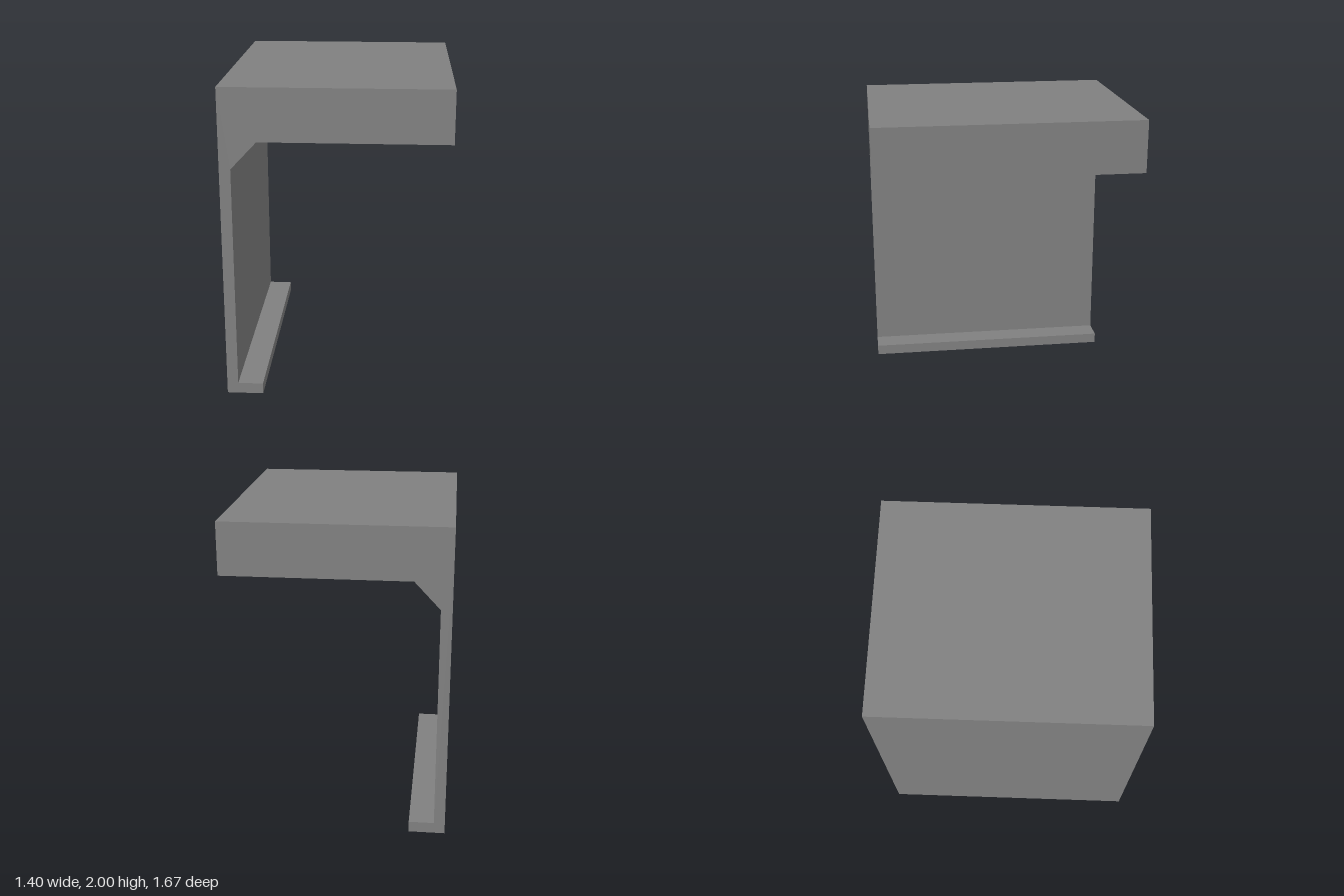
import * as THREE from 'three';

const HALF_DEPTH = 0.835;

const bodyGrey = new THREE.MeshStandardMaterial({ color: 0x808080, side: THREE.DoubleSide });
bodyGrey.name = 'body grey';
const lampTan = new THREE.MeshStandardMaterial({ color: 0xb3996a });
lampTan.name = 'lamp tan';

// Flat strip that sweeps an open outline from front to back
function sweep(outline) {
  const positions = [];
  for (let i = 0; i < outline.length - 1; i++) {
    const [ax, ay] = outline[i];
    const [bx, by] = outline[i + 1];
    const h = HALF_DEPTH;
    positions.push(ax, ay, h, ax, ay, -h, bx, by, -h);
    positions.push(ax, ay, h, bx, by, -h, bx, by, h);
  }
  const geometry = new THREE.BufferGeometry();
  geometry.setAttribute('position', new THREE.Float32BufferAttribute(positions, 3));
  geometry.computeVertexNormals();
  return geometry;
}

function add(parent, name, geometry, material) {
  const mesh = new THREE.Mesh(geometry, material);
  mesh.name = name;
  parent.add(mesh);
  return mesh;
}

export function createModel() {
  const model = new THREE.Group();
  model.name = 'overhangingShelter';

  // Outline of foot, wall, sloped corner and thick roof; open underneath
  const outline = [
    [-0.47, 0], [-0.47, 0.07], [-0.63, 0.07], [-0.63, 1.5], [-0.47, 1.67],
    [0.7, 1.67], [0.7, 2], [-0.7, 2], [-0.7, 0],
  ];
  add(model, 'shell', sweep(outline), bodyGrey);

  // Wall panel carried down inside the hollow foot
  add(model, 'footInnerWall', sweep([[-0.63, 0], [-0.63, 0.07]]), bodyGrey);

  // End faces
  const shape = new THREE.Shape(outline.map(([x, y]) => new THREE.Vector2(x, y)));
  const front = add(model, 'frontEnd', new THREE.ShapeGeometry(shape), bodyGrey);
  front.position.z = HALF_DEPTH;
  const backGeometry = new THREE.ShapeGeometry(shape);
  backGeometry.rotateY(Math.PI).scale(1, 1, 1);
  // Mirror the cap across x again and restore the outward winding
  const p = backGeometry.attributes.position;
  for (let i = 0; i < p.count; i++) p.setX(i, -p.getX(i));
  backGeometry.setIndex(Array.from(backGeometry.index.array).reverse());
  const back = add(model, 'backEnd', backGeometry, bodyGrey);
  back.position.z = -HALF_DEPTH;

  // Two lamp plates on the sloped corner
  const slope = Math.atan2(0.17, 0.16);
  for (const side of [1, -1]) {
    const lamp = add(model, side > 0 ? 'frontLamp' : 'backLamp',
      new THREE.BoxGeometry(0.147, 0.009, 0.265), lampTan);
    lamp.rotation.z = slope;
    lamp.position.set(-0.549 + Math.sin(slope) * 0.005, 1.584 - Math.cos(slope) * 0.005, side * 0.418);
  }

  return model;
}
